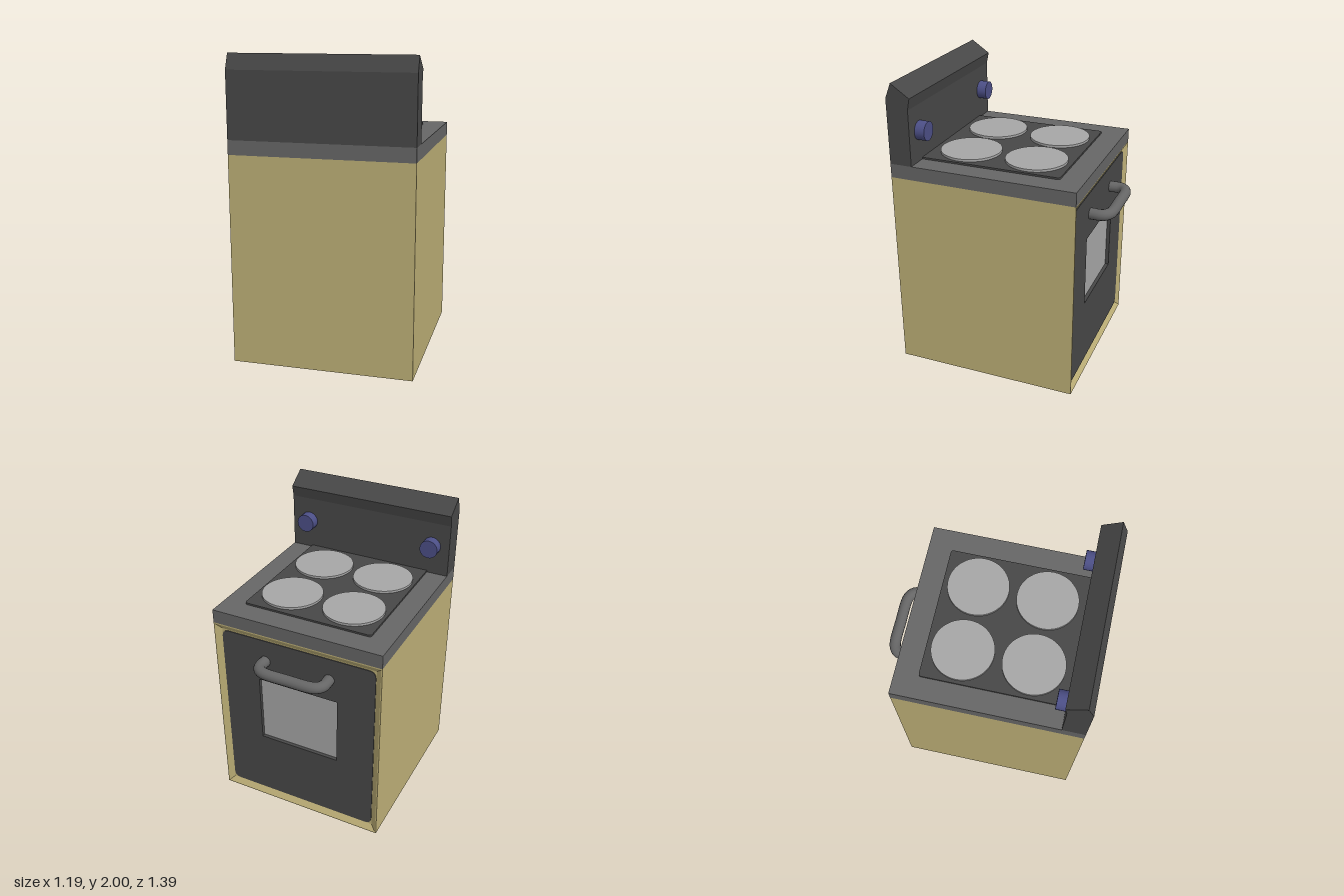
import * as THREE from 'three';

const W = 0.595, BACK = 0.695, FRONT = -0.55, BODY_H = 1.375, TOP = 1.468;

const mat = (name, color) => {
  const m = new THREE.MeshStandardMaterial({ color });
  m.name = name;
  return m;
};

// Rectangle outline with optional rounded corners
function rectPath(Type, x0, y0, x1, y1, r = 0) {
  const p = new Type();
  if (!r) {
    p.moveTo(x0, y0).lineTo(x1, y0).lineTo(x1, y1).lineTo(x0, y1).closePath();
    return p;
  }
  p.moveTo(x0 + r, y0).lineTo(x1 - r, y0).quadraticCurveTo(x1, y0, x1, y0 + r);
  p.lineTo(x1, y1 - r).quadraticCurveTo(x1, y1, x1 - r, y1);
  p.lineTo(x0 + r, y1).quadraticCurveTo(x0, y1, x0, y1 - r);
  p.lineTo(x0, y0 + r).quadraticCurveTo(x0, y0, x0 + r, y0);
  return p;
}

// Closed box whose oven side is a rim sloping inwards, built from [margin, z] rings
function bodyGeometry(rings) {
  const loops = rings.map(([m, z]) => [
    [-W + m, m, z], [W - m, m, z], [W - m, BODY_H - m, z], [-W + m, BODY_H - m, z],
  ]);
  const pos = [];
  const tri = (...pts) => pts.forEach((p) => pos.push(...p));
  const [a, b, c, d] = loops[0];
  tri(a, b, c, a, c, d);
  for (let k = 0; k + 1 < loops.length; k++) {
    for (let i = 0; i < 4; i++) {
      const j = (i + 1) % 4, A = loops[k], B = loops[k + 1];
      tri(A[i], B[i], B[j], A[i], B[j], A[j]);
    }
  }
  const g = new THREE.BufferGeometry();
  g.setAttribute('position', new THREE.Float32BufferAttribute(pos, 3));
  g.computeVertexNormals();
  return g;
}

export function createModel() {
  const model = new THREE.Group();
  model.name = 'stove';
  const tan = mat('tan enamel', 0xbcae76);
  const grey = mat('grey metal', 0x666666);
  const dark = mat('dark panel', 0x474747);
  const light = mat('light grey', 0xa6a6a6);
  const blue = mat('blue knob', 0x4c4f86);

  const add = (name, geometry, material, x = 0, y = 0, z = 0) => {
    const m = new THREE.Mesh(geometry, material);
    m.name = name;
    m.position.set(x, y, z);
    model.add(m);
    return m;
  };
  const win = [-0.285, 0.525, 0.285, 1.01];

  // Body with the sloping door frame, and the flat panel behind the door
  const depth = -0.525;
  add('body', bodyGeometry([[0, BACK], [0, FRONT], [0.008, FRONT], [0.045, depth]]), tan);
  const m = 0.045;
  const panel = rectPath(THREE.Shape, -W + m, m, W - m, BODY_H - m);
  panel.holes.push(rectPath(THREE.Path, ...win));
  add('doorFrame', new THREE.ShapeGeometry(panel).rotateY(Math.PI), tan, 0, 0, depth);

  // Oven door with a recessed window
  const door = rectPath(THREE.Shape, -0.547, 0.052, 0.547, 1.323, 0.05);
  door.holes.push(rectPath(THREE.Path, ...win));
  add('ovenDoor', new THREE.ExtrudeGeometry(door, { depth: 0.03, bevelEnabled: false, curveSegments: 5 }),
    dark, 0, 0, -0.531);
  add('ovenWindow', new THREE.BoxGeometry(0.58, 0.495, 0.008), light, 0, 0.7675, -0.503);

  // Door handle
  const half = [[0.23, -0.52], [0.23, -0.6], [0.215, -0.631], [0.175, -0.653]];
  const path = [...half.map(([x, z]) => [-x, z]), [0, -0.658], ...half.slice().reverse()];
  const curve = new THREE.CatmullRomCurve3(path.map(([x, z]) => new THREE.Vector3(x, 1.17, z)));
  add('doorHandle', new THREE.TubeGeometry(curve, 40, 0.0375, 14), grey);

  // Cooktop slab, hob plate and four burners
  add('cooktop', new THREE.BoxGeometry(2 * W, TOP - BODY_H, BACK - FRONT), grey,
    0, (TOP + BODY_H) / 2, (BACK + FRONT) / 2);
  const hob = rectPath(THREE.Shape, -0.448, -0.56, 0.448, 0.395, 0.02);
  add('hobPlate', new THREE.ExtrudeGeometry(hob, { depth: 0.012, bevelEnabled: false, curveSegments: 4 })
    .rotateX(-Math.PI / 2), dark, 0, TOP, 0);
  for (const x of [-0.223, 0.223]) {
    for (const z of [-0.16, 0.298]) {
      add('burner', new THREE.CylinderGeometry(0.203, 0.203, 0.02, 48), light, x, TOP + 0.018, z);
    }
  }

  // Backsplash with a slanted top overhanging the hob
  const profile = new THREE.Shape([
    [0.695, TOP], [0.695, 1.9], [0.655, 2], [0.53, 1.915], [0.545, 1.84], [0.545, TOP],
  ].map(([z, y]) => new THREE.Vector2(-z, y)));
  add('backsplash', new THREE.ExtrudeGeometry(profile, { depth: 2 * W, bevelEnabled: false })
    .rotateY(Math.PI / 2), dark, -W, 0, 0);

  // Control knobs
  for (const x of [-0.47, 0.467]) {
    add('knob', new THREE.CylinderGeometry(0.063, 0.063, 0.07, 24).rotateX(Math.PI / 2), blue, x, 1.673, 0.513);
  }
  return model;
}
